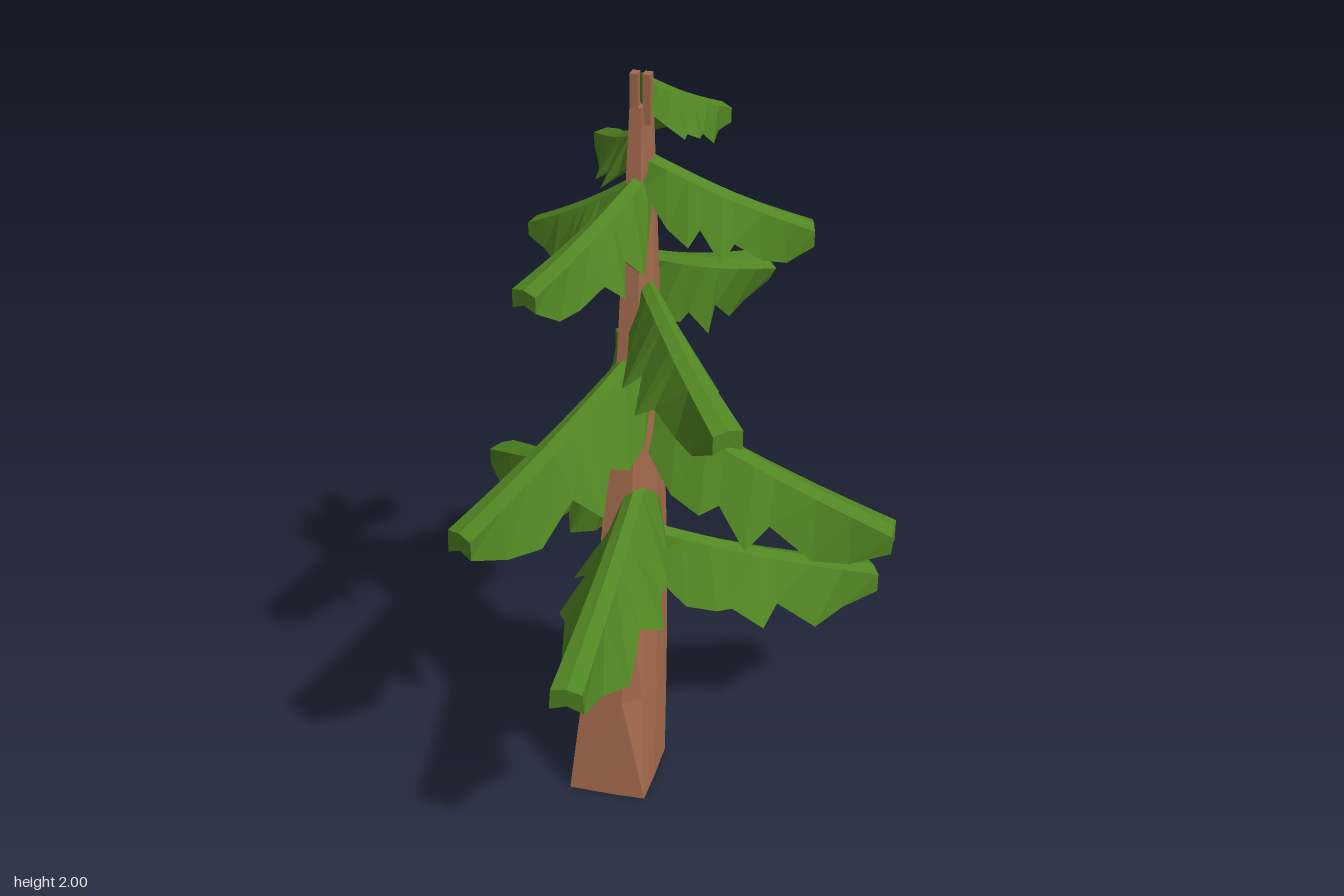
import * as THREE from 'three';

const bark = new THREE.MeshStandardMaterial({ color: 0xa56a4d, flatShading: true });
bark.name = 'bark brown';
const needle = new THREE.MeshStandardMaterial({ color: 0x518522, flatShading: true });
needle.name = 'needle green';

// Closed faceted solid through rings that run counter-clockwise seen from the end
function loft(rings) {
  const pos = [];
  const tri = (a, b, c) => pos.push(...a, ...b, ...c);
  const n = rings[0].length;
  for (let k = 0; k < rings.length - 1; k++) {
    const r = rings[k], q = rings[k + 1];
    for (let i = 0; i < n; i++) {
      const j = (i + 1) % n;
      tri(r[i], r[j], q[i]);
      tri(r[j], q[j], q[i]);
    }
  }
  const last = rings[rings.length - 1];
  for (let i = 1; i < n - 1; i++) {
    tri(rings[0][0], rings[0][i + 1], rings[0][i]);
    tri(last[0], last[i], last[i + 1]);
  }
  const g = new THREE.BufferGeometry();
  g.setAttribute('position', new THREE.Float32BufferAttribute(pos, 3));
  g.computeVertexNormals();
  return g;
}

function mesh(name, geometry, material) {
  const m = new THREE.Mesh(geometry, material);
  m.name = name;
  return m;
}

// Square trunk section whose front corner is cut back by the given amount
function trunkRing([y, x0, x1, z0, z1, cut]) {
  const outline = [[0, 1], [0.6, 1], [1 - 0.17 * cut, 1 - 0.2 * cut], [1, 0.55], [1, 0], [0, 0]];
  return outline.map(([u, v]) => [x0 + (x1 - x0) * u, y, z0 + (z1 - z0) * v]);
}

// Branch stations: distance along, skirt depth, skirt half-width
const stations = [[0, 0.12, 0.04], [0.14, 0.17, 0.08], [0.26, 0.185, 0.115], [0.33, 0.145, 0.09],
  [0.45, 0.175, 0.125], [0.53, 0.13, 0.09], [0.7, 0.16, 0.08], [0.84, 0.125, 0.055], [1, 0.065, 0.04]];

function branchGeometry({ root, tip, roll = 0, spread = 1 }, index) {
  const start = new THREE.Vector3(-0.045, root, -0.025);
  const end = new THREE.Vector3(...tip);
  const dir = end.clone().sub(start).setY(0);
  const length = dir.length();
  dir.normalize();
  const up = new THREE.Vector3(0, 1, 0);
  const side = new THREE.Vector3(dir.z, 0, -dir.x).applyAxisAngle(dir, roll);
  up.applyAxisAngle(dir, roll);
  const size = 0.3 + 0.7 * Math.min(1, length / 0.6);
  const rings = stations.map(([t, d, w], k) => {
    const c = start.clone().lerp(end, t);
    c.y -= 0.015 * Math.sin(Math.PI * t) * size;
    const strip = 0.04 * (0.5 + 0.5 * size) * (0.5 + 0.5 * t);
    // alternate the two ragged edges so the teeth do not line up
    const wobble = 0.1 * Math.sin(k * 2.3 + index * 1.7);
    const dl = d * size * (1 + wobble), dr = d * size * (1 - wobble);
    const wl = Math.max(strip, w * size * spread * (1 + wobble));
    const wr = Math.max(strip, w * size * spread * (1 - wobble));
    const section = [[0, 0.01 * (1 - t)], [-strip, -0.008], [-wl, -dl],
      [0, -0.75 * d * size], [wr, -dr], [strip, -0.008]];
    return section.map(([s, h]) => c.clone().addScaledVector(side, s).addScaledVector(up, h).toArray());
  });
  return loft(rings);
}

const branches = [
  { root: 0.78, tip: [0.52, 0.53, -0.35] },
  { root: 0.97, tip: [-0.575, 0.71, -0.43] },
  { root: 0.97, tip: [-0.065, 0.72, 0.61], spread: 1.1 },
  { root: 1.17, tip: [0.6, 0.87, -0.04] },
  { root: 1.3, tip: [-0.24, 1.04, -0.605] },
  { root: 1.32, tip: [-0.35, 1.04, 0.5] },
  { root: 1.5, tip: [0.255, 1.33, 0.365] },
  { root: 1.56, tip: [0.17, 1.36, -0.48], roll: 0.5 },
  { root: 1.76, tip: [-0.22, 1.61, 0.345] },
  { root: 1.75, tip: [-0.35, 1.56, -0.155] },
  { root: 1.81, tip: [0.345, 1.63, -0.13] },
  { root: 1.86, tip: [-0.2, 1.76, -0.27] },
  { root: 1.99, tip: [0.09, 1.86, -0.255] },
];

export function createModel() {
  const tree = new THREE.Group();
  tree.name = 'pineTree';

  // Tapering, slightly leaning trunk
  tree.add(mesh('trunk', loft([
    [0, -0.21, 0.003, -0.06, 0.16, 0.1],
    [0.3, -0.178, 0.003, -0.078, 0.128, 0.7],
    [0.65, -0.14, 0, -0.095, 0.095, 1],
    [1.3, -0.095, -0.01, -0.07, 0.035, 1],
    [1.92, -0.07, -0.02, -0.037, -0.008, 1],
  ].map(trunkRing)), bark));

  // Split top of the trunk
  for (const x of [-0.06, -0.03]) {
    const prong = mesh('trunkProng', new THREE.BoxGeometry(0.019, 0.12, 0.026), bark);
    prong.position.set(x, 1.94, -0.022);
    tree.add(prong);
  }

  // Drooping ragged branches spiralling up the trunk
  branches.forEach((b, i) => tree.add(mesh('branch' + (i + 1), branchGeometry(b, i), needle)));
  return tree;
}
